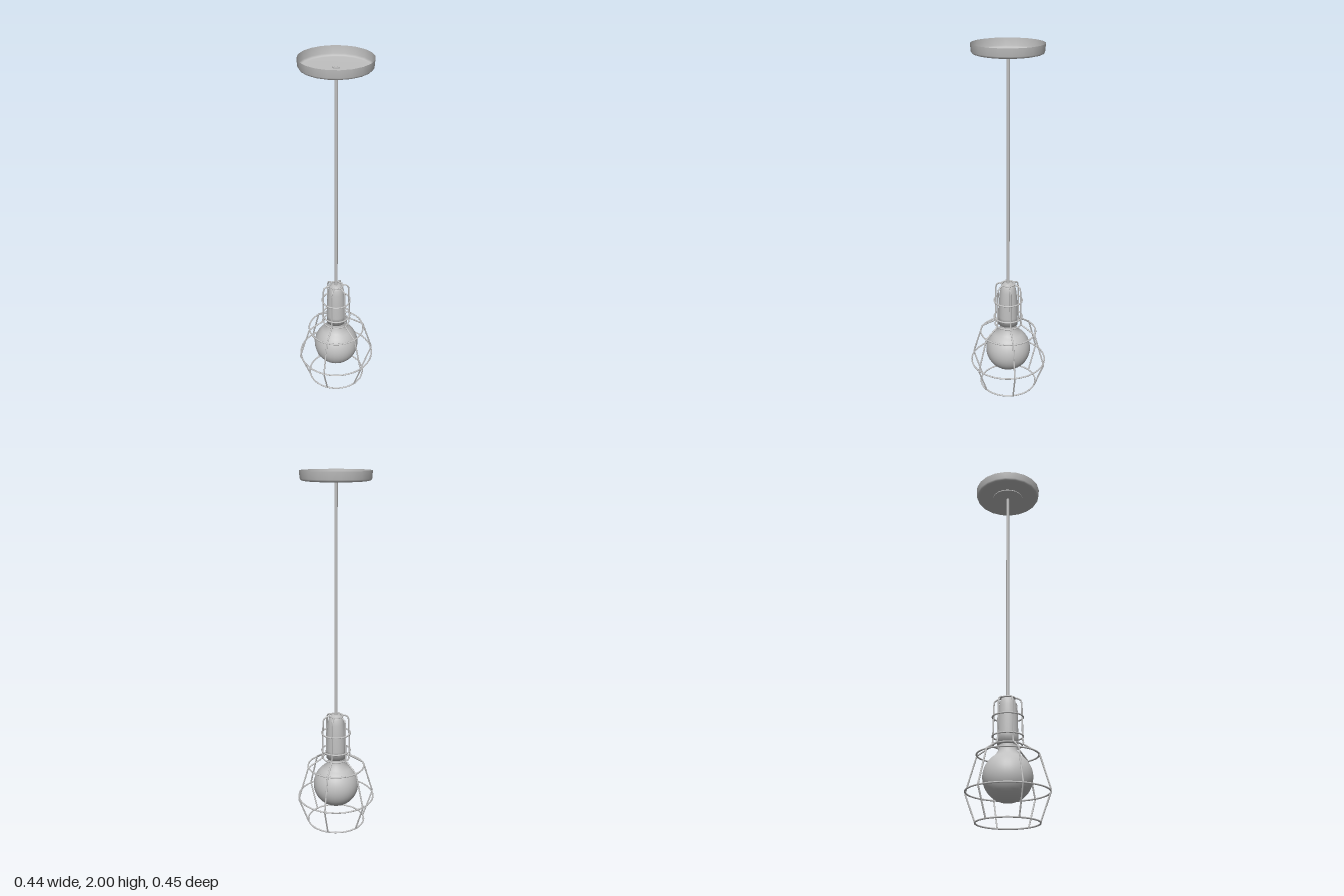
import * as THREE from 'three';

const grey = new THREE.MeshStandardMaterial({ color: 0xc0c0c0, side: THREE.DoubleSide });
grey.name = 'plain grey';

export function createModel() {
  const model = new THREE.Group();
  model.name = 'pendantLamp';

  const add = (name, geometry, y = 0) => {
    const mesh = new THREE.Mesh(geometry, grey);
    mesh.name = name;
    mesh.position.y = y;
    model.add(mesh);
    return mesh;
  };
  const lathe = (points, sides) =>
    new THREE.LatheGeometry(points.map(([r, y]) => new THREE.Vector2(r, y)), sides);

  // Ceiling canopy: a shallow dish, open at the top
  add('canopy', lathe([[0, 1.948], [0.17, 1.948], [0.181, 1.951], [0.187, 1.96], [0.19, 2]], 20));
  add('canopyPlate', new THREE.CylinderGeometry(0.09, 0.09, 0.005, 20), 1.9455);

  // Cord with a small nut inside the dish
  add('cord', new THREE.CylinderGeometry(0.009, 0.009, 1.3, 16), 1.305);
  add('cordNut', new THREE.CylinderGeometry(0.017, 0.017, 0.006, 16), 1.951);

  // Socket: a tapered sleeve with a rounded top
  add('socket', lathe([
    [0, 0.4], [0.056, 0.4], [0.056, 0.45], [0.053, 0.55], [0.047, 0.61],
    [0.041, 0.64], [0.032, 0.655], [0.02, 0.662], [0, 0.663],
  ], 24));

  // Globe bulb: sphere profile blending into a neck
  const bulb = [];
  for (let i = 0; i <= 20; i++) {
    const a = -Math.PI / 2 + (i / 20) * 2.6;
    bulb.push([Math.max(0, 0.13 * Math.cos(a)), 0.233 + 0.13 * Math.sin(a)]);
  }
  bulb.push([0.053, 0.364], [0.046, 0.385], [0.045, 0.41]);
  add('bulb', lathe(bulb, 32));

  // Cage hoops: [radius, height]
  const wire = 0.0045;
  for (const [r, y] of [[0.038, 0.66], [0.081, 0.555], [0.081, 0.45], [0.075, 0.402],
    [0.161, 0.352], [0.216, 0.162], [0.163, 0.008]]) {
    add('cageHoop', new THREE.TorusGeometry(r, wire, 8, 48).rotateX(Math.PI / 2), y);
  }

  // Cage ribs: six bent wires following one profile
  const profile = [[0.03, 0.66], [0.055, 0.656], [0.071, 0.645], [0.075, 0.625],
    [0.079, 0.43], [0.083, 0.405], [0.163, 0.354], [0.221, 0.162], [0.164, 0.008]]
    .map(([r, y]) => new THREE.Vector3(0, y, r));
  const path = new THREE.CurvePath();
  for (let i = 1; i < profile.length; i++) {
    path.add(new THREE.LineCurve3(profile[i - 1], profile[i]));
  }
  const rib = new THREE.TubeGeometry(path, 120, wire, 8);
  for (let i = 0; i < 6; i++) {
    add('cageRib', rib).rotation.y = (i * Math.PI) / 3;
  }

  // Rest the bottom hoop on the ground
  model.children.forEach((part) => {
    if (part.name.startsWith('cage')) part.position.y -= 0.0035;
  });
  return model;
}
